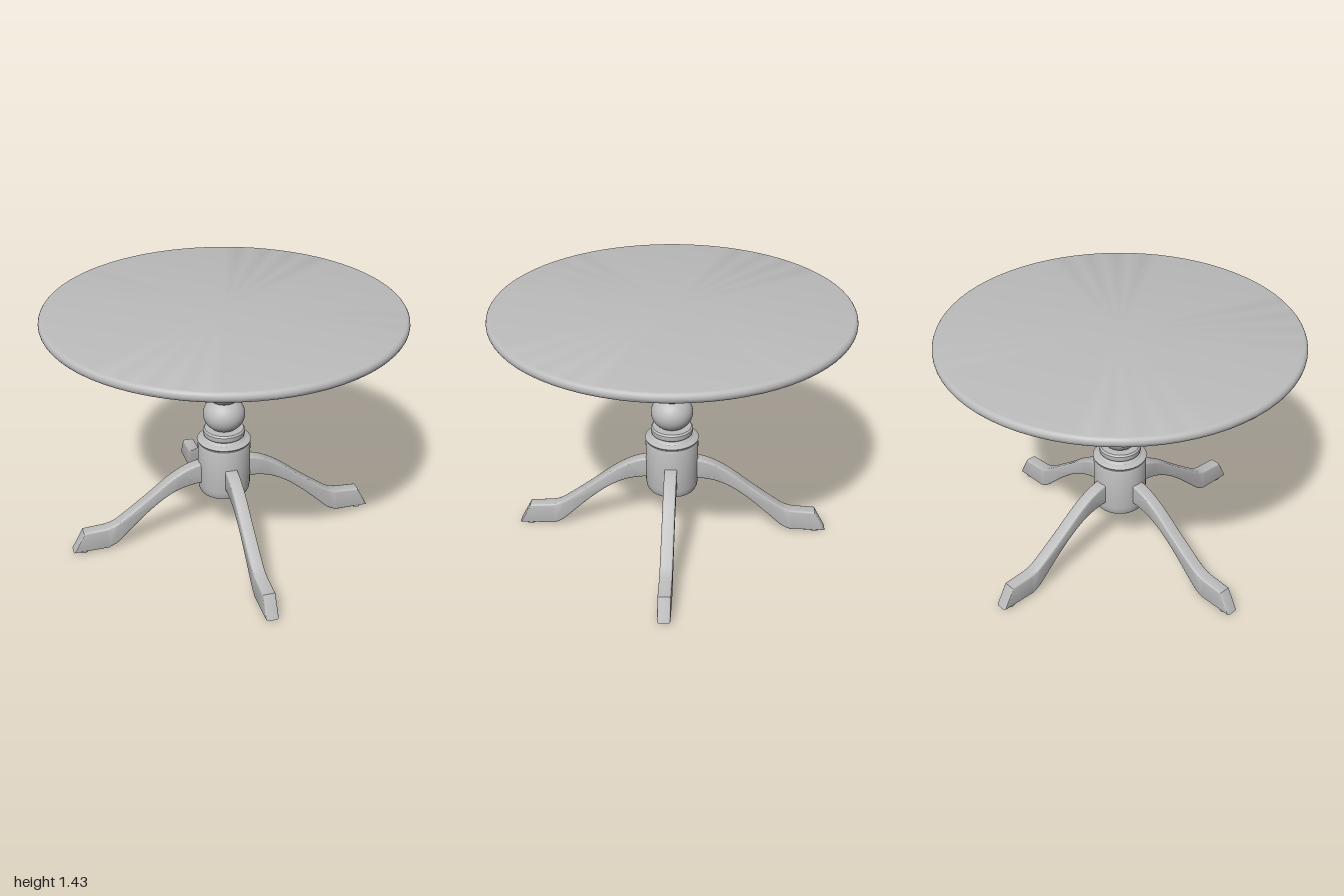
import * as THREE from 'three';
import { toCreasedNormals } from 'three/addons/utils/BufferGeometryUtils.js';

const LEG_ANGLE = THREE.MathUtils.degToRad(37);

export function createModel() {
  const table = new THREE.Group();
  table.name = 'pedestalTable';
  const grey = new THREE.MeshStandardMaterial({ color: 0xbcbcbc });
  grey.name = 'plain grey';

  const add = (parent, name, geometry, x = 0, y = 0, z = 0) => {
    const mesh = new THREE.Mesh(geometry, grey);
    mesh.name = name;
    mesh.position.set(x, y, z);
    parent.add(mesh);
    return mesh;
  };
  // turned part from [radius, height] pairs, listed from bottom to top
  const turned = (pairs, segments = 48) => toCreasedNormals(
    new THREE.LatheGeometry(pairs.map(([r, y]) => new THREE.Vector2(r, y)), segments), 0.6);
  // rounded outline of a bead between two heights
  const bead = (radius, centre, halfHeight, from, to, steps) => {
    const pairs = [];
    for (let i = 0; i <= steps; i++) {
      const a = THREE.MathUtils.lerp(from, to, i / steps);
      pairs.push([radius * Math.cos(a), centre + halfHeight * Math.sin(a)]);
    }
    return pairs;
  };

  // round top with a softened rim
  const rim = [[0, 1.38], [0.975, 1.38]];
  for (let i = 0; i <= 10; i++) {
    const a = -Math.PI / 2 + Math.PI * i / 10;
    rim.push([0.975 + 0.023 * Math.cos(a), 1.4075 + 0.0275 * Math.sin(a)]);
  }
  rim.push([0, 1.435]);
  add(table, 'tableTop', turned(rim, 72));

  // mounting plate and its screws
  add(table, 'mountingPlate', new THREE.CylinderGeometry(0.308, 0.308, 0.028, 48), 0, 1.366, 0);
  for (let i = 0; i < 4; i++) {
    const a = LEG_ANGLE + i * Math.PI / 2;
    add(table, 'plateScrew', turned([[0, 1.333], [0.012, 1.336], [0.018, 1.345], [0.018, 1.354]], 16),
      0.24 * Math.cos(a), 0, -0.24 * Math.sin(a));
  }

  // lower hub that holds the legs
  add(table, 'hub', turned([
    [0, 0.288], [0.13, 0.288], [0.142, 0.294], [0.149, 0.31], [0.153, 0.34],
    [0.153, 0.595], [0.148, 0.61], [0.138, 0.614], [0, 0.614],
  ]));
  // collar mouldings above the hub
  add(table, 'lowerCollar', turned([
    [0.13, 0.612], [0.154, 0.62], [0.156, 0.626], [0.15, 0.632],
    [0.125, 0.638], [0.118, 0.646], [0.11, 0.65], [0, 0.65],
  ]));
  add(table, 'lowerRing', turned([
    [0, 0.65], [0.107, 0.65], [0.118, 0.658], [0.122, 0.672],
    [0.121, 0.688], [0.112, 0.698], [0, 0.702],
  ]));
  // two turned balls
  for (const y of [0.788, 0.963]) {
    add(table, 'turnedBall', turned(bead(0.121, y, 0.106, -1.15, 1.15, 20)));
  }
  // flared neck, mouldings and upper drum
  add(table, 'neck', turned([
    [0, 1.057], [0.116, 1.057], [0.12, 1.066], [0.121, 1.085], [0.126, 1.105],
    [0.14, 1.12], [0.146, 1.126], [0, 1.126],
  ]));
  add(table, 'upperRing', turned([
    [0, 1.122], [0.144, 1.122], [0.151, 1.13], [0.15, 1.138], [0.142, 1.145], [0, 1.145],
  ]));
  add(table, 'upperCollar', turned([
    [0.13, 1.144], [0.152, 1.146], [0.162, 1.154], [0.164, 1.165], [0.16, 1.176], [0.155, 1.182], [0.13, 1.184],
  ]));
  add(table, 'upperDrum', turned([
    [0.13, 1.18], [0.158, 1.184], [0.158, 1.2], [0.154, 1.26],
    [0.153, 1.325], [0.148, 1.342], [0.14, 1.354], [0, 1.354],
  ]));

  // side outline of a leg: curved shank ending in an angled block foot
  const points = pairs => pairs.map(([x, y]) => new THREE.Vector2(x, y));
  const outline = new THREE.Shape();
  outline.moveTo(0.1, 0.36);
  outline.lineTo(0.1, 0.49);
  outline.splineThru(points([
    [0.155, 0.489], [0.235, 0.465], [0.34, 0.405], [0.465, 0.308],
    [0.6, 0.208], [0.67, 0.162], [0.72, 0.146],
  ]));
  outline.lineTo(0.855, 0.138);
  outline.lineTo(0.922, 0.012);
  outline.lineTo(0.715, 0.012);
  outline.splineThru(points([
    [0.66, 0.04], [0.59, 0.105], [0.48, 0.207], [0.37, 0.292], [0.27, 0.342], [0.17, 0.362], [0.1, 0.36],
  ]));
  const bevel = 0.01, width = 0.072;
  const raw = new THREE.ExtrudeGeometry(outline, {
    depth: width - 2 * bevel, curveSegments: 24,
    bevelEnabled: true, bevelSize: bevel, bevelThickness: bevel, bevelOffset: -bevel, bevelSegments: 3,
  });
  raw.translate(0, 0, bevel - width / 2);
  const legShape = toCreasedNormals(raw, 0.55);
  const pad = new THREE.CylinderGeometry(0.028, 0.028, 0.014, 20);

  for (let i = 0; i < 4; i++) {
    const leg = new THREE.Group();
    leg.name = 'leg';
    leg.rotation.y = LEG_ANGLE + i * Math.PI / 2;
    add(leg, 'legShank', legShape);
    add(leg, 'footPad', pad, 0.86, 0.007, 0);
    table.add(leg);
  }
  return table;
}
